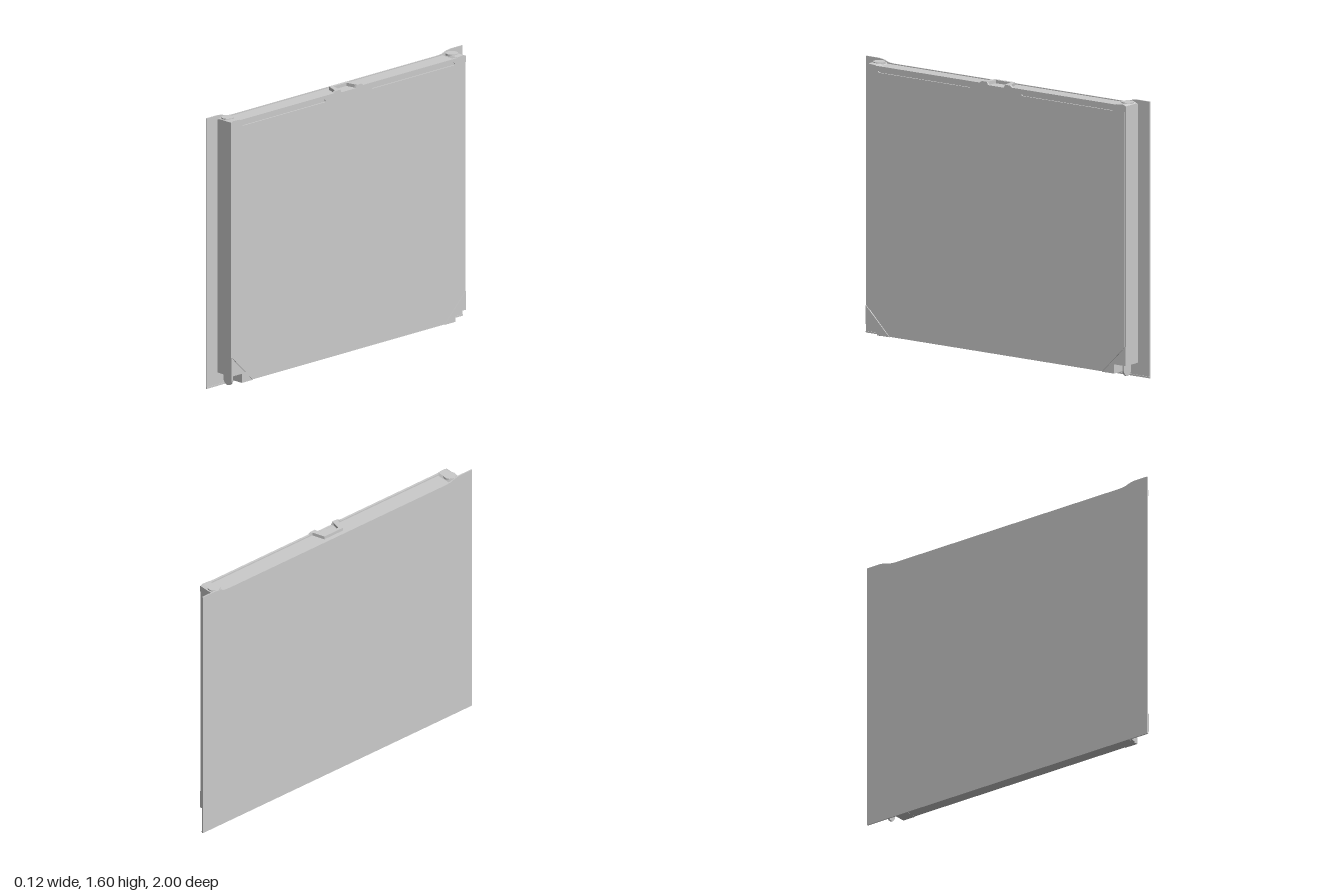
import * as THREE from 'three';

const material = new THREE.MeshStandardMaterial({ color: 0xcccccc, flatShading: true, side: THREE.DoubleSide });

function add(group, name, geometry) {
  const mesh = new THREE.Mesh(geometry, material);
  mesh.name = name;
  group.add(mesh);
  return mesh;
}

function box(group, name, x0, x1, y0, y1, z0, z1) {
  const mesh = add(group, name, new THREE.BoxGeometry(x1 - x0, y1 - y0, z1 - z0));
  mesh.position.set((x0 + x1) / 2, (y0 + y1) / 2, (z0 + z1) / 2);
  return mesh;
}

// Outline drawn in (z, y), extruded along x from x0 to x1
function slab(group, name, shape, x0, x1) {
  const g = new THREE.ExtrudeGeometry(shape, { depth: x1 - x0, bevelEnabled: false, curveSegments: 8 });
  g.rotateY(Math.PI / 2).translate(x0, 0, 0);
  return add(group, name, g);
}

const shapeOf = points => new THREE.Shape(points.map(p => new THREE.Vector2(...p)));
// Half outline on the positive side, mirrored to a closed symmetric outline
const symmetric = half => shapeOf([...half, ...half.slice().reverse().map(([z, y]) => [-z, y])]);

function pill(z0, z1, y, r) {
  const p = new THREE.Path();
  p.absarc(z1 - r, y, r, -Math.PI / 2, Math.PI / 2);
  p.absarc(z0 + r, y, r, Math.PI / 2, Math.PI * 1.5);
  p.closePath();
  return p;
}

export function createModel() {
  const group = new THREE.Group();

  // Thin outer sheet with raised top corners and a small bottom lip
  slab(group, 'outerSheet', symmetric([
    [1, 0], [1, 1.6], [0.91, 1.6], [0.875, 1.595], [0.84, 1.583], [0.8, 1.58],
  ]), -0.062, -0.055);
  box(group, 'bottomLip', -0.055, -0.051, 0.003, 0.01, -1, 1);

  // Hollow-looking door body with a slightly sloping top
  const profile = shapeOf([
    [-0.055, 0.028], [0.05, 0.028], [0.05, 1.577], [0, 1.577], [-0.055, 1.572],
  ]);
  const body = new THREE.ExtrudeGeometry(profile, { depth: 1.81, bevelEnabled: false });
  add(group, 'body', body.translate(0, 0, -0.905));

  // Inner panel: latch notch in the top edge, two long grooves
  const panel = symmetric([
    [0.75, 0.028], [0.905, 0.185], [0.905, 1.57], [0.85, 1.583], [0.115, 1.583],
    [0.1, 1.594], [0.065, 1.594], [0.055, 1.576],
  ]);
  panel.holes.push(pill(0.18, 0.83, 1.553, 0.008), pill(-0.83, -0.18, 1.553, 0.008));
  slab(group, 'innerPanel', panel, 0.045, 0.058);

  // Half-hexagon latch rim on the top edge
  const rim = shapeOf([
    [0.058, 0.1], [-0.03, 0.07], [-0.03, -0.07], [0.058, -0.1],
    [0.058, -0.065], [-0.012, -0.05], [-0.012, 0.05], [0.058, 0.065],
  ]);
  const rimGeometry = new THREE.ExtrudeGeometry(rim, { depth: 0.02, bevelEnabled: false });
  rimGeometry.rotateX(-Math.PI / 2).translate(0, 1.574, 0);
  add(group, 'latchRim', rimGeometry);

  for (const s of [-1, 1]) {
    const side = s > 0 ? 'left' : 'right';

    // Side wall, separated from the inner panel by a narrow step
    box(group, side + 'SideWall', -0.055, 0.055, 0.08, 1.577, s * 0.89, s * 0.917).scale.z = 1;

    // Top corner cap with a wedge end and a round plug
    slab(group, side + 'TopCap', shapeOf([
      [s * 0.84, 1.575], [s * 0.917, 1.545], [s * 0.917, 1.582], [s * 0.9, 1.589], [s * 0.85, 1.586],
    ]), -0.045, 0.058);
    const plug = add(group, side + 'TopPlug', new THREE.CylinderGeometry(0.036, 0.036, 0.012, 24));
    plug.position.set(-0.014, 1.586, s * 0.876);

    // Stepped bottom corner piece
    slab(group, side + 'BottomCorner', shapeOf([
      [s * 0.917, 0.19], [s * 0.917, 0.08], [s * 0.835, 0.08], [s * 0.835, 0.026], [s * 0.75, 0.026],
    ]), -0.05, 0.06);

    // Thin hinge tongue with a rounded lower end
    const tongue = new THREE.Shape();
    tongue.moveTo(-0.051, 0.1);
    tongue.lineTo(-0.051, 0.035);
    tongue.absarc(-0.018, 0.037, 0.033, Math.PI, Math.PI * 2);
    tongue.lineTo(0.015, 0.1);
    const hinge = new THREE.ExtrudeGeometry(tongue, { depth: 0.01, bevelEnabled: false, curveSegments: 16 });
    add(group, side + 'HingeTongue', hinge.translate(0, 0, s * 0.867 - 0.005));
  }

  // Cut-back lower body corners are handled by narrowing the body near the base
  const body0 = group.getObjectByName('body');
  body0.geometry = new THREE.ExtrudeGeometry(symmetric([
    [0.835, 0.028], [0.835, 0.08], [0.905, 0.08], [0.905, 1.575],
  ]), { depth: 0.105, bevelEnabled: false }).rotateY(Math.PI / 2).translate(-0.055, 0, 0);

  return group;
}
